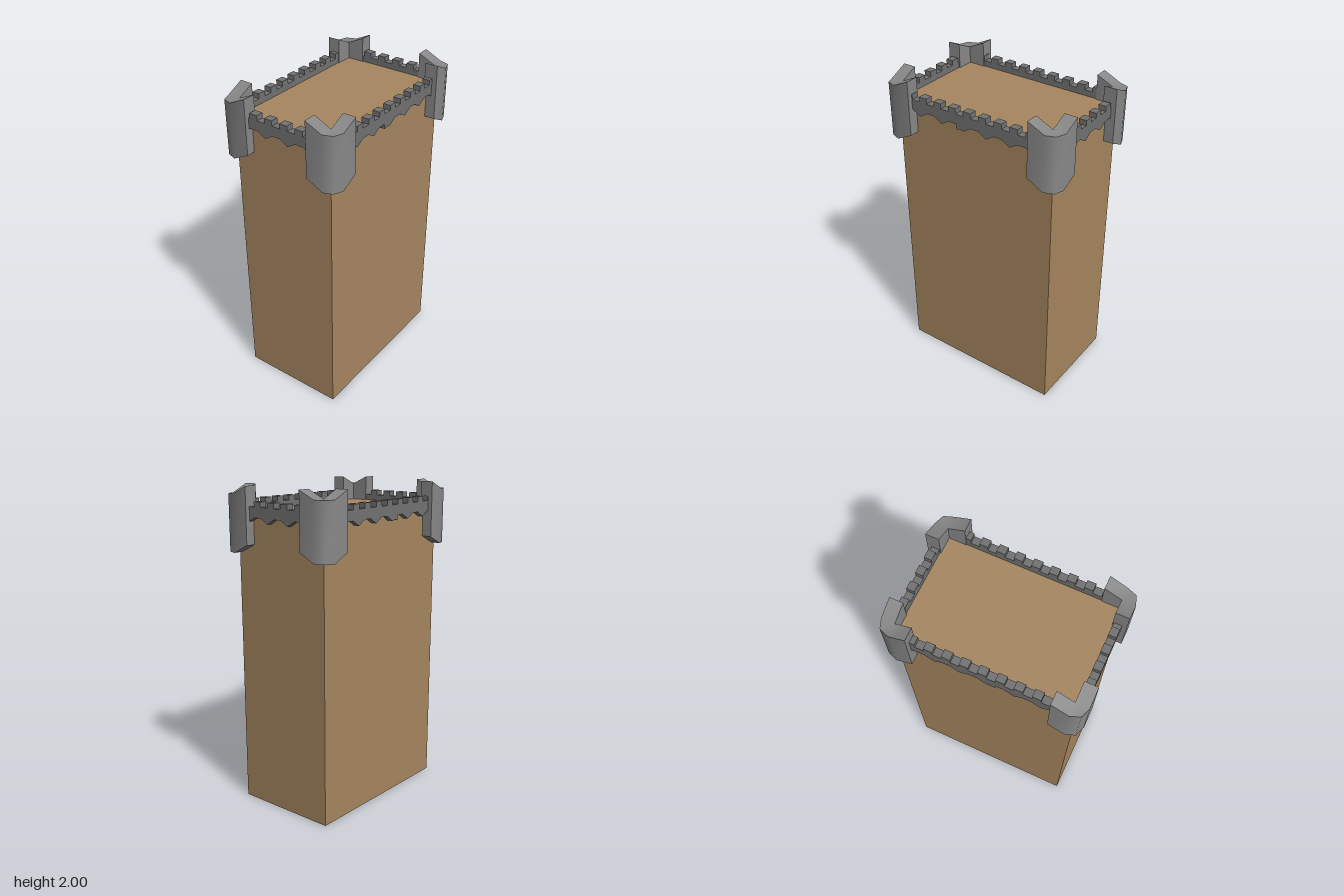
import * as THREE from 'three';
import { toCreasedNormals } from 'three/addons/utils/BufferGeometryUtils.js';

const brown = new THREE.MeshStandardMaterial({ color: 0xa68660 });
const wallGrey = new THREE.MeshStandardMaterial({ color: 0x727272, flatShading: true });
const towerGrey = new THREE.MeshStandardMaterial({ color: 0x888888 });

const CELL = 0.053; // width of one merlon, one gap, or a third of an arch

// Battlement strip: arched underside in threes, merlons on every second cell
function battlement(start, first, last, merlonParity, seam) {
  const at = k => start + k * CELL;
  const shape = new THREE.Shape();
  shape.moveTo(at(first), 1.84);
  for (let k = first; k <= last; k++) {
    shape.lineTo(at(k), k % 3 === 0 ? 1.786 : 1.818);
    // joint between two wall pieces
    if (k === seam) {
      shape.lineTo(at(k) + 0.003, 1.786);
      shape.lineTo(at(k) + 0.025, 1.792);
    }
  }
  for (let k = last - 1; k >= first; k--) {
    const y = Math.abs(k % 2) === merlonParity ? 1.912 : 1.881;
    shape.lineTo(at(k + 1), y);
    shape.lineTo(at(k), y);
  }
  shape.closePath();
  return new THREE.ExtrudeGeometry(shape, { depth: 0.048, bevelEnabled: false });
}

// L-shaped corner tower lofted around the corner; the arms rise toward their ends
function cornerTower(sx, sz) {
  const sections = [ // inner x, z, outer x, z, lift at bottom and top
    [0.415, 0.318, 0.415, 0.4, 0.053, 0.05],
    [0.522, 0.318, 0.522, 0.4, 0, 0],
    [0.522, 0.318, 0.582, 0.378, 0, 0],
    [0.522, 0.318, 0.604, 0.318, 0, 0],
    [0.522, 0.21, 0.604, 0.21, 0.053, 0.05],
  ];
  const rings = sections.map(([ix, iz, ox, oz, b, t]) => [
    [ix * sx, 1.602 + b, iz * sz], [ox * sx, 1.602 + b, oz * sz],
    [ox * sx, 1.95 + t, oz * sz], [ix * sx, 1.95 + t, iz * sz],
  ]);
  const pos = [];
  const quad = (...corners) => {
    const [a, b, c, d] = sx * sz > 0 ? corners : corners.reverse();
    pos.push(...a, ...b, ...c, ...a, ...c, ...d);
  };
  for (let s = 0; s < rings.length - 1; s++) {
    for (let i = 0; i < 4; i++) {
      const j = (i + 1) % 4;
      quad(rings[s][i], rings[s + 1][i], rings[s + 1][j], rings[s][j]);
    }
  }
  quad(...rings[0]);
  quad(...[...rings[4]].reverse());
  const geo = new THREE.BufferGeometry();
  geo.setAttribute('position', new THREE.Float32BufferAttribute(pos, 3));
  return toCreasedNormals(geo, THREE.MathUtils.degToRad(60));
}

export function createModel() {
  const group = new THREE.Group();
  const add = (name, geo, mat) => {
    const mesh = new THREE.Mesh(geo, mat);
    mesh.name = name;
    group.add(mesh);
  };

  // Main block with the flat roof deck
  add('keepBody', new THREE.BoxGeometry(1.09, 1.845, 0.67).translate(-0.003, 0.9225, 0), brown);

  // Front and back battlements
  for (const [name, z] of [['frontBattlement', 0.322], ['backBattlement', -0.372]]) {
    add(name, battlement(-0.357, -2, 15, 0, 5).translate(0, 0, z), wallGrey);
  }

  // Side battlements
  for (const [name, x] of [['leftBattlement', 0.528], ['rightBattlement', -0.577]]) {
    add(name, battlement(-0.224, -1, 9, 1).rotateY(Math.PI / 2).translate(x, 0, 0), wallGrey);
  }

  // Corner towers
  for (const sx of [1, -1]) {
    for (const sz of [1, -1]) {
      add(`${sz > 0 ? 'front' : 'back'}${sx > 0 ? 'Left' : 'Right'}Tower`, cornerTower(sx, sz), towerGrey);
    }
  }
  return group;
}
